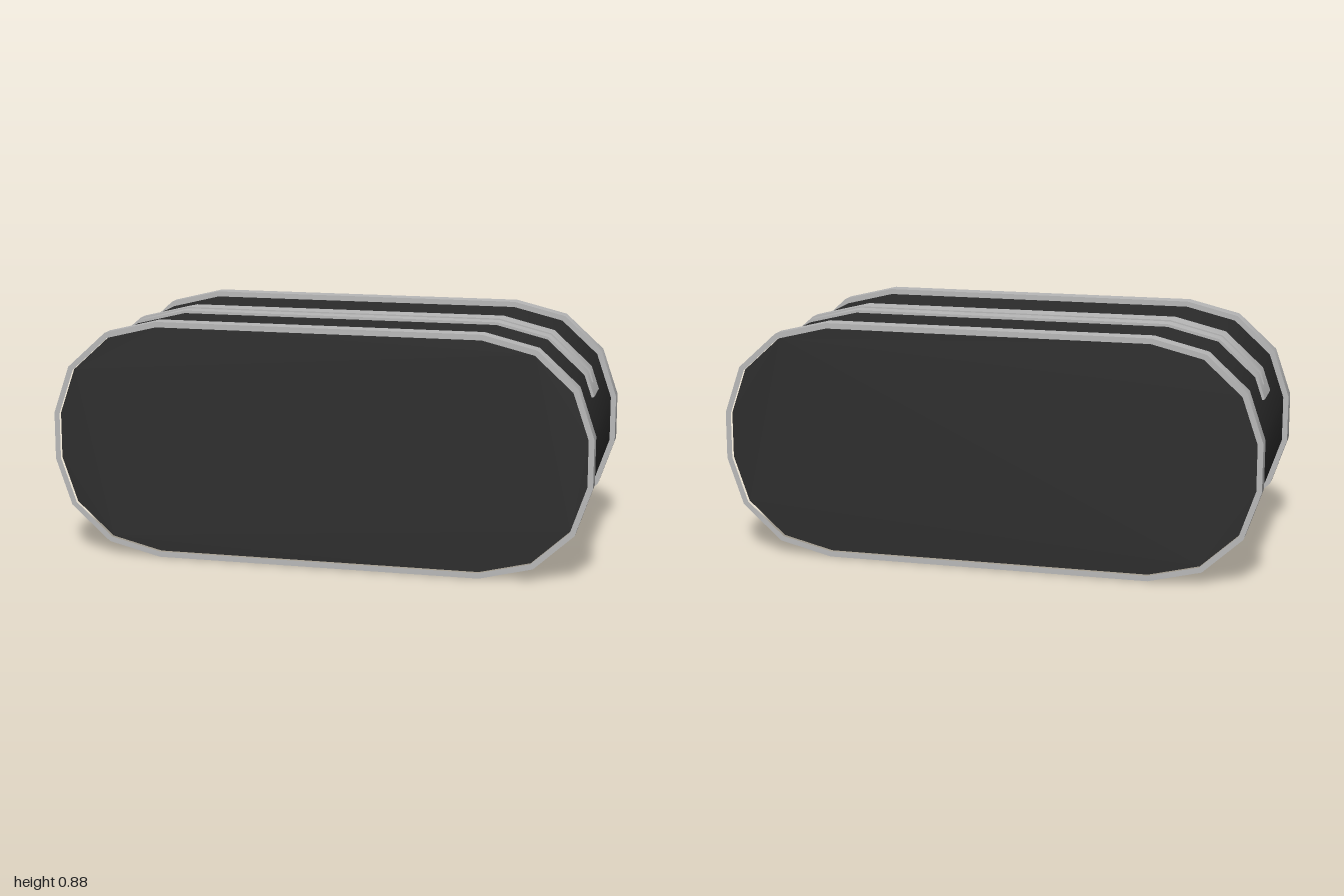
import * as THREE from 'three';
import { toCreasedNormals } from 'three/addons/utils/BufferGeometryUtils.js';

const H = 0.885;
const V = (x, y) => new THREE.Vector2(x, y);

// Right half of the outline, from top to bottom
const upper = [[0.6, H], [0.795, 0.837], [0.94, 0.705], [1, 0.53]];
const right = [...upper, ...upper.map(([x, y]) => [x, H - y]).reverse()];
const outline = [...right, ...right.map(([x, y]) => [-x, y]).reverse()].map(p => V(...p));

// Top chain that the zip follows, ending at height endY on both sides
function topChain(endY) {
  const t = (0.705 - endY) / (0.705 - 0.53);
  const half = [...upper.slice(0, 3), [0.94 + 0.06 * t, endY]];
  return [...half.map(([x, y]) => [-x, y]).reverse(), ...half].map(p => V(...p));
}

// Moves a clockwise path inwards by d with mitred corners
function inset(pts, d, closed = true) {
  const n = pts.length;
  const outward = i => {
    const a = pts[(i + n) % n], b = pts[(i + 1) % n];
    return V(a.y - b.y, b.x - a.x).normalize();
  };
  return pts.map((p, i) => {
    const n1 = !closed && i === n - 1 ? outward(i - 1) : outward(i);
    const n0 = !closed && i === 0 ? outward(0) : outward(i - 1);
    const m = n0.clone().add(n1);
    return p.clone().addScaledVector(m, -d / (1 + n0.dot(n1)));
  });
}

// Extrudes a shape from z0 to z1, smooth round the curve and sharp at the faces
function slab(name, shape, z0, z1, material) {
  const geo = new THREE.ExtrudeGeometry(shape, { depth: z1 - z0, bevelEnabled: false });
  geo.translate(0, 0, z0);
  const mesh = new THREE.Mesh(toCreasedNormals(geo, 0.6), material);
  mesh.name = name;
  return mesh;
}

// Raised band lying along the top chain
function band(name, endY, top, bottom, halfWidth, material) {
  const chain = topChain(endY);
  const pts = [...inset(chain, top, false), ...inset(chain, bottom, false).reverse()];
  return slab(name, new THREE.Shape(pts), -halfWidth, halfWidth, material);
}

export function createModel() {
  const group = new THREE.Group();
  group.name = 'zipPouch';
  const fabric = new THREE.MeshStandardMaterial({ color: 0x2b2b2b });
  const trim = new THREE.MeshStandardMaterial({ color: 0xb8b8b8 });

  // Fabric body
  group.add(slab('body', new THREE.Shape(inset(outline, 0.02)), -0.405, 0.405, fabric));

  // Piping round the front and back panels
  const ring = new THREE.Shape(outline);
  ring.holes.push(new THREE.Path(inset(outline, 0.02)));
  group.add(slab('frontPiping', ring, 0.36, 0.42, trim));
  group.add(slab('backPiping', ring, -0.42, -0.36, trim));

  // Zip tape and the raised row of teeth on it
  group.add(band('zipTape', 0.617, 0.01, 0.03, 0.08, trim));
  group.add(band('zipTeeth', 0.66, 0.005, 0.02, 0.025, trim));
  return group;
}
